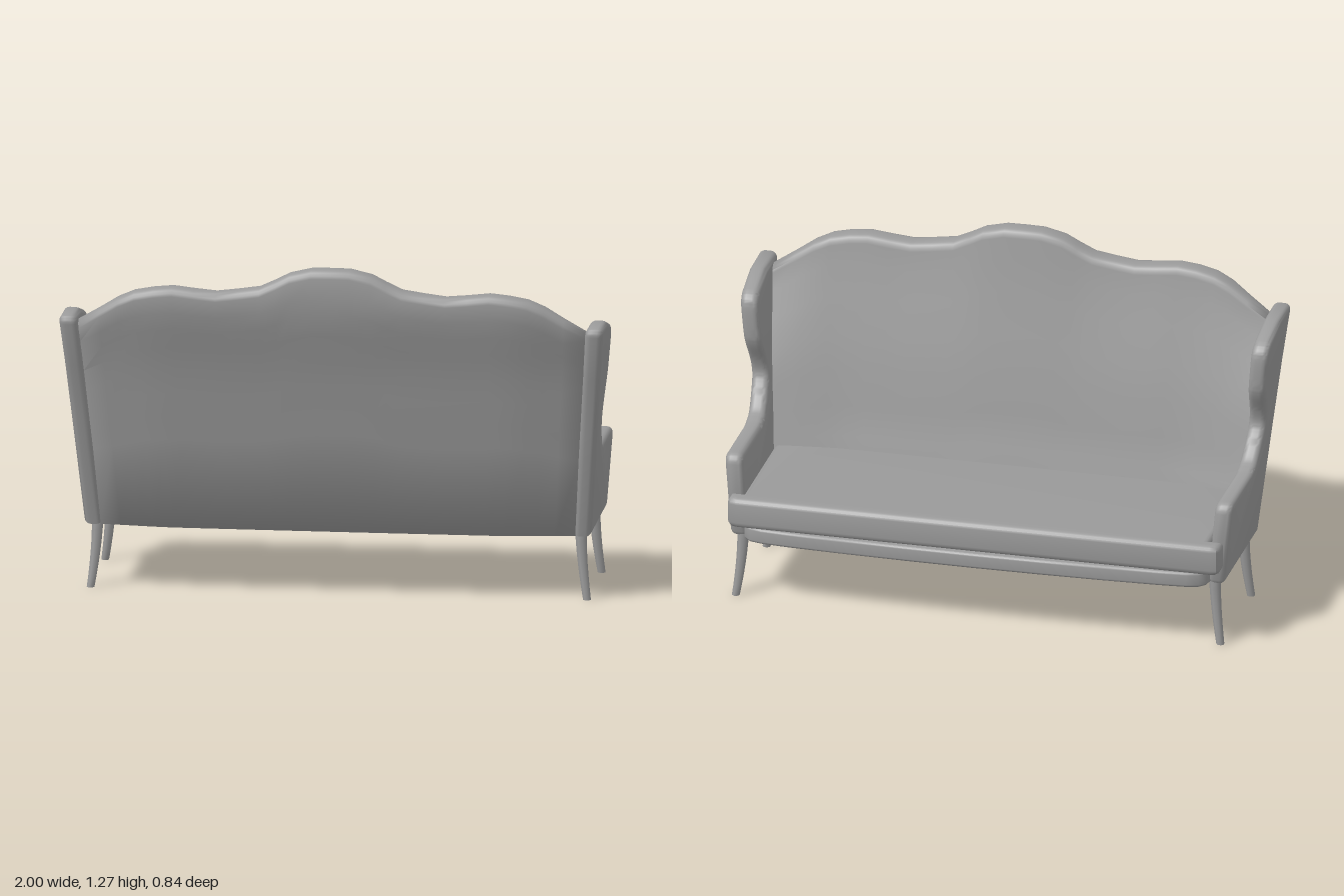
import * as THREE from 'three';
import { toCreasedNormals } from 'three/addons/utils/BufferGeometryUtils.js';

const material = new THREE.MeshStandardMaterial({ color: 0x9b9b9b });
const BOTTOM = 0.242;

function part(name, geometry, crease = 0.75) {
  const mesh = new THREE.Mesh(toCreasedNormals(geometry, crease), material);
  mesh.name = name;
  return mesh;
}

// Straight interpolation through [key, value] pairs.
function sample(table, k) {
  for (let i = 1; i < table.length; i++) {
    const [k0, v0] = table[i - 1], [k1, v1] = table[i];
    if (k <= k1 || i === table.length - 1) {
      return v0 + (v1 - v0) * THREE.MathUtils.clamp((k - k0) / (k1 - k0), 0, 1);
    }
  }
}

// Extrusion with rounded edges that stays inside the outline, centred on its depth.
function padded(shape, depth, bevel) {
  const g = new THREE.ExtrudeGeometry(shape, {
    depth: depth - 2 * bevel, bevelEnabled: true, bevelThickness: bevel,
    bevelSize: bevel, bevelOffset: -bevel, bevelSegments: 4, curveSegments: 6,
  });
  return g.translate(0, 0, -(depth - 2 * bevel) / 2);
}

// Flat part from half of a plan, given as [x, z] from front centre to back centre.
function planPart(name, half, y0, y1, bevel) {
  const right = half.map(([x, z]) => new THREE.Vector2(x, -z));
  const left = half.filter(([x]) => x > 0).map(([x, z]) => new THREE.Vector2(-x, -z)).reverse();
  const g = padded(new THREE.Shape([...right, ...left]), y1 - y0, bevel);
  return part(name, g.rotateX(-Math.PI / 2).translate(0, (y0 + y1) / 2, 0));
}

// Winged arm: side silhouette, leaning outward with height.
function arm(side) {
  const s = new THREE.Shape();
  const v = (z, y) => new THREE.Vector2(-z, y);
  s.moveTo(-0.165, BOTTOM);
  s.lineTo(0.325, BOTTOM);
  s.lineTo(0.335, 0.257);
  s.lineTo(0.326, 0.515);
  s.quadraticCurveTo(0.322, 0.552, 0.285, 0.553);
  s.lineTo(0.03, 0.553);
  s.splineThru([v(0, 0.56), v(0.045, 0.58), v(0.1, 0.645), v(0.123, 0.69), v(0.11, 0.745),
    v(0.07, 0.82), v(0.057, 0.87), v(0.055, 0.97), v(0.07, 1.01), v(0.1, 1.03)]);
  s.lineTo(-0.225, 1.065);
  s.lineTo(-0.37, 1.068);
  s.quadraticCurveTo(-0.393, 1.065, -0.388, 1.035);
  s.lineTo(-0.33, 0.87);
  s.lineTo(-0.27, 0.65);
  const g = padded(s, 0.066, 0.022).rotateY(Math.PI / 2);
  const p = g.attributes.position;
  for (let i = 0; i < p.count; i++) {
    p.setX(i, p.getX(i) + side * (0.897 + 0.085 * (p.getY(i) - 0.245)));
  }
  return part('wingedArm', g);
}

// Raked backrest: rounded sections lofted across x, under a wavy crest.
function backrest() {
  const crest = [[0, 1.266], [0.07, 1.265], [0.15, 1.246], [0.2, 1.22], [0.26, 1.192], [0.34, 1.18],
    [0.42, 1.17], [0.5, 1.177], [0.58, 1.186], [0.65, 1.179], [0.72, 1.165], [0.78, 1.138],
    [0.85, 1.093], [0.93, 1.045]];
  const rear = [[BOTTOM, 0.193], [0.42, 0.232], [0.7, 0.302], [0.88, 0.345], [1.04, 0.398],
    [1.12, 0.42], [1.27, 0.42]];
  const front = [[BOTTOM, 0.108], [0.41, 0.14], [0.47, 0.161], [0.6, 0.187], [0.8, 0.228],
    [1.06, 0.292], [1.24, 0.328]];
  // Row heights as fractions: a long soft lower row behind, a tight cove at the seat in front
  const rearRows = [0, 0.38, 0.48, 0.58, 0.68, 0.78, 0.86, 0.93, 1];
  const frontRows = [0, 0.17, 0.24, 0.36, 0.5, 0.65, 0.8, 0.92, 1];
  const xs = [...crest.slice(1).map(([x]) => -x).reverse(), ...crest.map(([x]) => x)];
  const r = 0.03, positions = [], index = [];

  function section(x) {
    const yr = sample(crest, Math.abs(x)) - r;
    const height = (t) => BOTTOM + (yr - BOTTOM) * t;
    const zRear = (t) => sample(rear, height(t));
    const zFront = (t) => sample(front, height(t) + (1.236 - yr) * t ** 3);
    const zr = zRear(1), zf = zFront(1), arc = [1, 2, 3, 4].map((k) => k * Math.PI / 8);
    return [
      ...rearRows.map((t) => [zRear(t), height(t)]),
      ...arc.map((a) => [zr - r + r * Math.cos(a), yr + r * Math.sin(a)]),
      ...arc.reverse().map((a) => [zf + r - r * Math.cos(a), yr + r * Math.sin(a)]),
      ...frontRows.map((t) => [zFront(t), height(t)]).reverse(),
    ];
  }

  const m = 2 * (rearRows.length + 4);
  for (const x of xs) {
    const u = x / 0.93;
    const bow = 0.006 * u * u + 0.028 * Math.max(0, (Math.abs(u) - 0.72) / 0.28);
    for (const [z, y] of section(x)) {
      const halfWidth = 0.872 + 0.075 * (Math.min(y, 1.05) - 0.245);
      positions.push(u * halfWidth, y, z - bow);
    }
  }
  for (let j = 0; j < xs.length - 1; j++) {
    for (let i = 0; i < m; i++) {
      const a = j * m + i, d = j * m + (i + 1) % m;
      index.push(a, a + m, d + m, a, d + m, d);
    }
  }
  // End caps
  const e = (xs.length - 1) * m;
  for (let i = 0; i < m / 2 - 1; i++) {
    const q = [i, i + 1, m - 2 - i, m - 1 - i];
    index.push(q[0], q[1], q[2], q[0], q[2], q[3]);
    index.push(e + q[2], e + q[1], e + q[0], e + q[3], e + q[2], e + q[0]);
  }
  const g = new THREE.BufferGeometry();
  g.setAttribute('position', new THREE.Float32BufferAttribute(positions, 3));
  g.setIndex(index);
  return part('backrest', g, 1.45);
}

// Tapered leg, its foot sweeping outward.
function leg(name, side, z, dir) {
  const g = new THREE.CylinderGeometry(0.022, 0.0148, 0.26, 8, 6);
  g.rotateY(Math.PI / 8).translate(0, 0.13, 0);
  const p = g.attributes.position;
  for (let i = 0; i < p.count; i++) {
    const t = (1 - p.getY(i) / 0.26) ** 1.7;
    p.setX(i, p.getX(i) + side * (0.887 + 0.024 * t));
    p.setZ(i, p.getZ(i) + z + dir * 0.016 * t);
  }
  return part(name, g, 1);
}

export function createModel() {
  const group = new THREE.Group();
  group.name = 'wingbackSofa';

  group.add(backrest());

  // Slightly bowed seat base with rounded front corners
  group.add(planPart('seatBase', [[0, -0.42], [0.25, -0.418], [0.5, -0.412], [0.7, -0.404],
    [0.8, -0.396], [0.845, -0.384], [0.868, -0.36], [0.875, -0.325], [0.875, 0.08], [0.7, 0.115],
    [0, 0.12]], BOTTOM, 0.3, 0.01));

  // Cushion that wraps round the arm fronts
  group.add(planPart('seatCushion', [[0, -0.409], [0.89, -0.407], [0.915, -0.4], [0.925, -0.383],
    [0.925, -0.337], [0.878, -0.337], [0.878, 0.13], [0.7, 0.16], [0, 0.165]], 0.3, 0.415, 0.022));

  for (const side of [-1, 1]) {
    group.add(arm(side));
    group.add(leg('frontLeg', side, -0.306, -1));
    group.add(leg('rearLeg', side, 0.118, 1));
  }
  return group;
}
